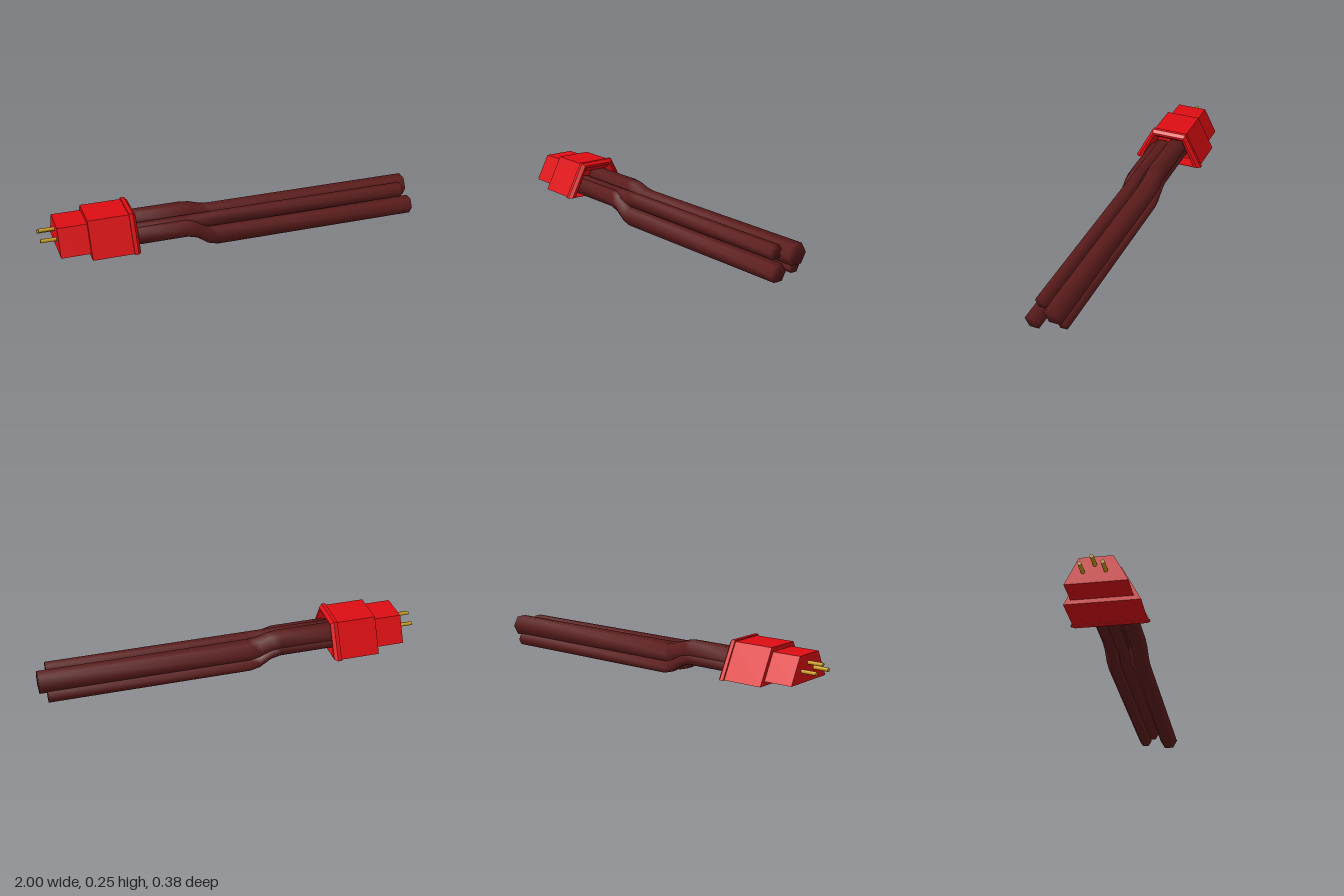
import * as THREE from 'three';

const RED = new THREE.MeshStandardMaterial({ color: 0xdd0d12 });
const BROWN = new THREE.MeshStandardMaterial({ color: 0x5c1c1c });
const GOLD = new THREE.MeshStandardMaterial({ color: 0xc99a18 });

// Skin a list of equal-sized rings running along x, closed by a fan at each end.
// Ring corners run counter-clockwise as seen from +x.
function loft(rings, smooth) {
  const n = rings[0].length;
  const pos = rings.flat(2);
  const index = [];
  for (let i = 0; i < rings.length - 1; i++) {
    for (let j = 0; j < n; j++) {
      const k = (j + 1) % n;
      const a = i * n + j, b = i * n + k, c = (i + 1) * n + k, d = (i + 1) * n + j;
      index.push(a, b, c, a, c, d);
    }
  }
  for (const [i, flip] of [[0, true], [rings.length - 1, false]]) {
    const centre = pos.length / 3;
    for (let axis = 0; axis < 3; axis++) {
      pos.push(rings[i].reduce((sum, p) => sum + p[axis], 0) / n);
    }
    for (let j = 0; j < n; j++) {
      const a = i * n + j, b = i * n + (j + 1) % n;
      if (flip) index.push(centre, b, a);
      else index.push(centre, a, b);
    }
  }
  let geo = new THREE.BufferGeometry();
  geo.setAttribute('position', new THREE.Float32BufferAttribute(pos, 3));
  geo.setIndex(index);
  if (!smooth) geo = geo.toNonIndexed();
  geo.computeVertexNormals();
  return geo;
}

// Trapezoid section: bottom and top heights, bottom and top half widths
const trapezoid = ([x, y0, y1, bottom, top]) =>
  [[x, y0, bottom], [x, y0, -bottom], [x, y1, -top], [x, y1, top]];

const hexagon = (x, y, z, r) => Array.from({ length: 6 }, (_, i) => {
  const a = i * Math.PI / 3;
  return [x, y + r * Math.sin(a), z - r * Math.cos(a)];
});

export function createModel() {
  const model = new THREE.Group();
  const add = (name, geo, material) => {
    const mesh = new THREE.Mesh(geo, material);
    mesh.name = name;
    model.add(mesh);
    return mesh;
  };

  // Plug housing: nose, body, flange and the recess the cables enter
  add('plugHousing', loft([
    [-0.92, 0.085, 0.217, 0.148, 0.08],
    [-0.77, 0.085, 0.217, 0.148, 0.08],
    [-0.77, 0.064, 0.239, 0.182, 0.092],
    [-0.56, 0.064, 0.239, 0.182, 0.092],
    [-0.56, 0.063, 0.246, 0.192, 0.097],
    [-0.54, 0.063, 0.246, 0.192, 0.097],
    [-0.525, 0.064, 0.231, 0.175, 0.087],
    [-0.525, 0.066, 0.22, 0.155, 0.082],
    [-0.56, 0.068, 0.193, 0.13, 0.068],
    [-0.6, 0.068, 0.193, 0.13, 0.068],
  ].map(trapezoid), false), RED);

  // Contact pins
  for (const [y, z] of [[0.142, -0.06], [0.175, -0.005], [0.142, 0.045]]) {
    const pin = add('pin', new THREE.CylinderGeometry(0.01, 0.01, 0.1, 8), GOLD);
    pin.rotation.z = Math.PI / 2;
    pin.position.set(-0.95, y, z);
  }

  // Six-sided cables, bending down from the plug: [name, z, radius, plug y, free y, end x]
  const cables = [
    ['upperRearCable', -0.031, 0.058, 0.141, 0.111, 1],
    ['upperFrontCable', 0.053, 0.039, 0.125, 0.125, 0.95],
    ['lowerFrontCable', 0.079, 0.048, 0.111, 0.042, 0.995],
    ['lowerRearCable', -0.055, 0.035, 0.105, 0.038, 0.96],
  ];
  for (const [name, z, r, yPlug, yFree, end] of cables) {
    const path = [[-0.59, 0], [-0.26, 0], [-0.21, 0.2], [-0.15, 0.8], [-0.1, 1], [end, 1]];
    const rings = path.map(([x, t]) => hexagon(x, THREE.MathUtils.lerp(yPlug, yFree, t), z, r));
    add(name, loft(rings, true), BROWN);
  }
  return model;
}
